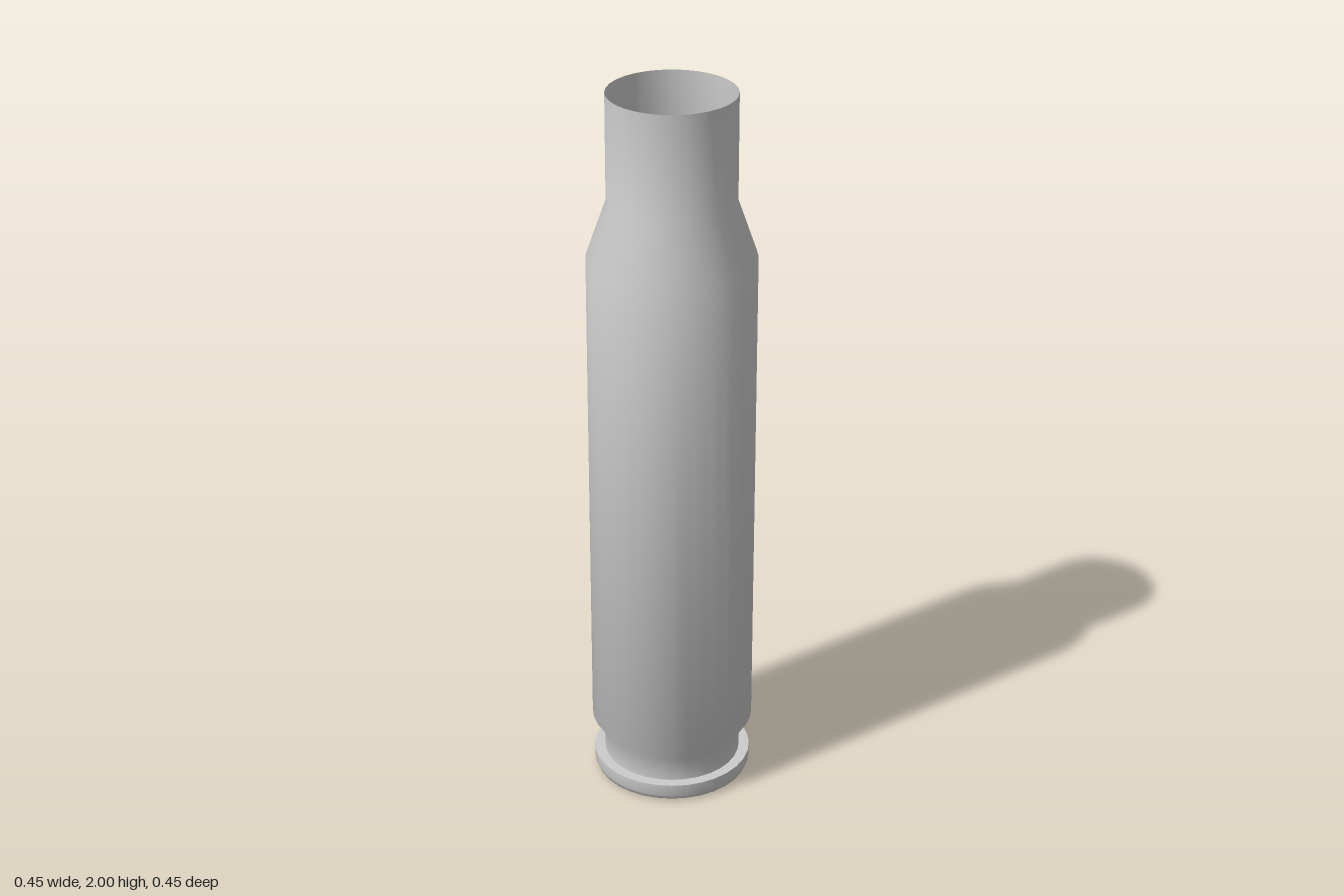
import * as THREE from 'three';
import { toCreasedNormals } from 'three/addons/utils/BufferGeometryUtils.js';

const SEGMENTS = 32;
const material = new THREE.MeshStandardMaterial({ color: 0xcccccc, side: THREE.DoubleSide });

// Turn a [radius, height] profile, listed from the bottom up, into a thin shell
function turned(name, profile) {
  const points = profile.map(([r, y]) => new THREE.Vector2(r, y));
  const geometry = toCreasedNormals(new THREE.LatheGeometry(points, SEGMENTS), 0.9);
  const mesh = new THREE.Mesh(geometry, material);
  mesh.name = name;
  return mesh;
}

export function createModel() {
  const group = new THREE.Group();
  group.name = 'cartridgeCase';

  // Underside, chamfered rim, groove, body, shoulder and open neck
  group.add(turned('caseShell', [
    [0.07, 0],
    [0.2, 0],
    [0.213, 0.006],
    [0.219, 0.02],
    [0.219, 0.053],
    [0.19, 0.053],
    [0.19, 0.12],
    [0.224, 0.167],
    [0.224, 1.555],
    [0.17, 1.71],
    [0.17, 2],
  ]));

  // Shallow round pocket in the underside
  const depth = 0.025;
  group.add(turned('primerPocketWall', [[0.07, depth], [0.07, 0]]));

  const primer = new THREE.Mesh(new THREE.CircleGeometry(0.07, SEGMENTS), material);
  primer.name = 'primer';
  primer.rotation.x = Math.PI / 2;
  primer.position.y = depth;
  group.add(primer);

  return group;
}
